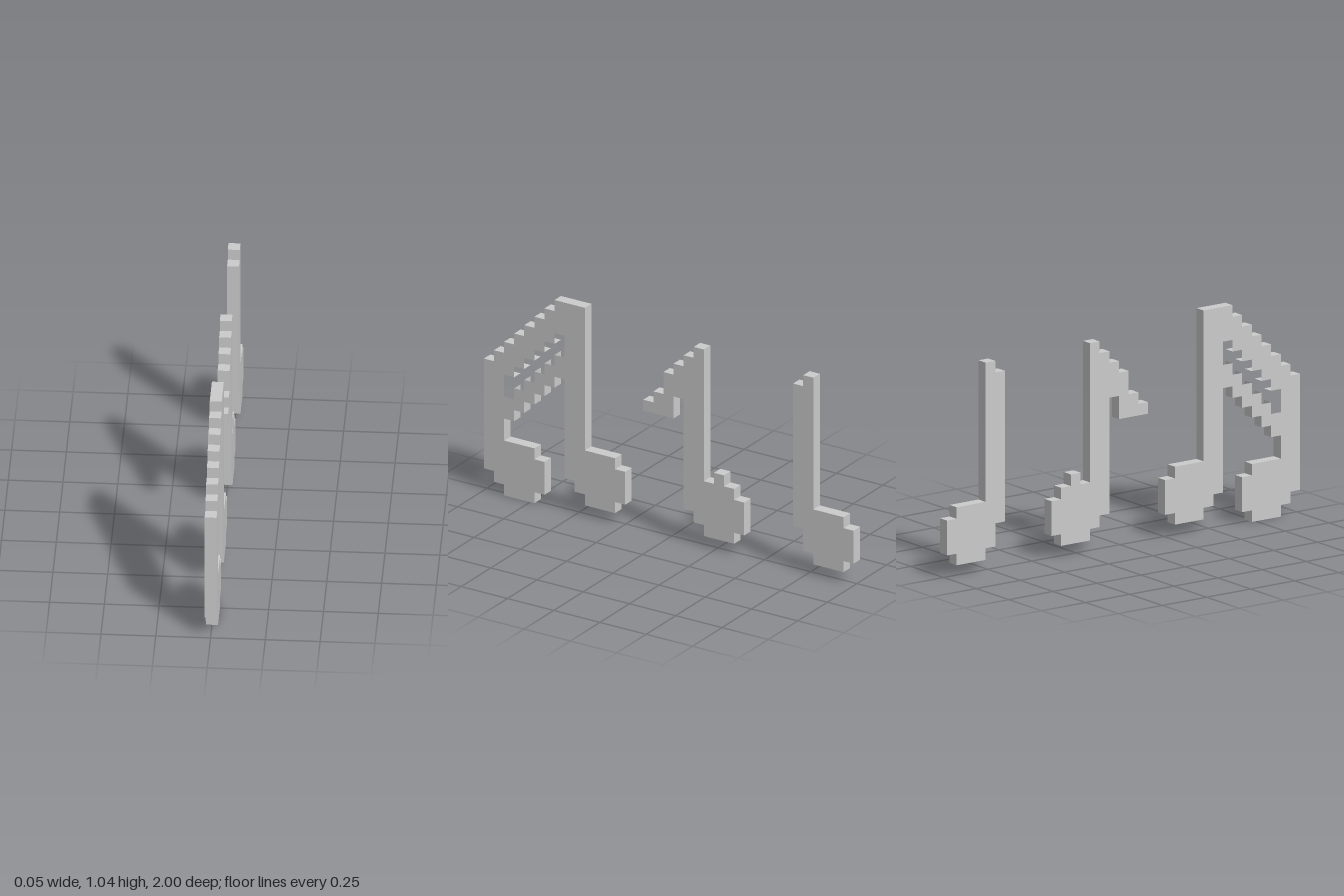
import * as THREE from 'three';

const U = 0.0546; // size of one pixel block

// Traces a stepped outline on the pixel grid: from (col, row), alternate rows and columns.
function trace(path, col, row, steps) {
  path.moveTo(col * U, row * U);
  steps.forEach((v, i) => {
    if (i % 2 === 0) row = v;
    else col = v;
    path.lineTo(col * U, row * U);
  });
  path.closePath();
  return path;
}

// Extrudes an outline one block thick, with columns running from frontZ towards -z.
function pixelNote(name, shape, frontZ, material) {
  const geometry = new THREE.ExtrudeGeometry(shape, { depth: U, bevelEnabled: false });
  geometry.translate(0, 0, -U / 2);
  geometry.rotateY(Math.PI / 2);
  const mesh = new THREE.Mesh(geometry, material);
  mesh.name = name;
  mesh.position.z = frontZ;
  return mesh;
}

export function createModel() {
  const group = new THREE.Group();
  group.name = 'musicNotes';
  const material = new THREE.MeshStandardMaterial({ color: 0xcccccc, flatShading: true });

  // Beamed pair: two stems and heads joined by a double slanted beam
  const beamed = trace(new THREE.Shape(), 0, 2, [
    12, 1, 13, 2, 14, 3, 15, 4, 16, 5, 17, 6, 18, 7, 19, 10, // upper beam
    6, 13, 5, 14, 2, 13, 1, 10, 2, 9, 3, 8, // rear stem and head
    12, 7, 11, 6, 10, 5, 9, 4, 8, 3, 7, 2, // underside of lower beam
    5, 5, 4, 6, 1, 5, 0, 2, 1, 1, 2, 0, // front head
  ]);
  // Slanted gap between the two beams
  beamed.holes.push(trace(new THREE.Path(), 2, 9, [
    11, 3, 12, 4, 13, 5, 14, 6, 15, 7, 16, 8,
    14, 7, 13, 6, 12, 5, 11, 4, 10, 3, 9, 2,
  ]));

  // Single note with a flag
  const flagged = trace(new THREE.Shape(), 0, 11, [
    12, 1, 13, 2, 15, 3, 16, 4, 17, 5, 18, 6, // flag
    6, 7, 7, 8, 6, 9, 5, 10, 2, 9, 1, 6, 2, 5, 3, 4, // head
    13, 3, 11, 0,
  ]);

  // Plain note: stem and head
  const plain = trace(new THREE.Shape(), 0, 4, [
    17, 1, 18, 2, 6, 5, 5, 6, 2, 5, 1, 2, 2, 1, 4, 0,
  ]);

  group.add(
    pixelNote('beamedNotes', beamed, 1, material),
    pixelNote('flaggedNote', flagged, 0.138, material),
    pixelNote('plainNote', plain, -1 + 6 * U, material),
  );
  return group;
}
